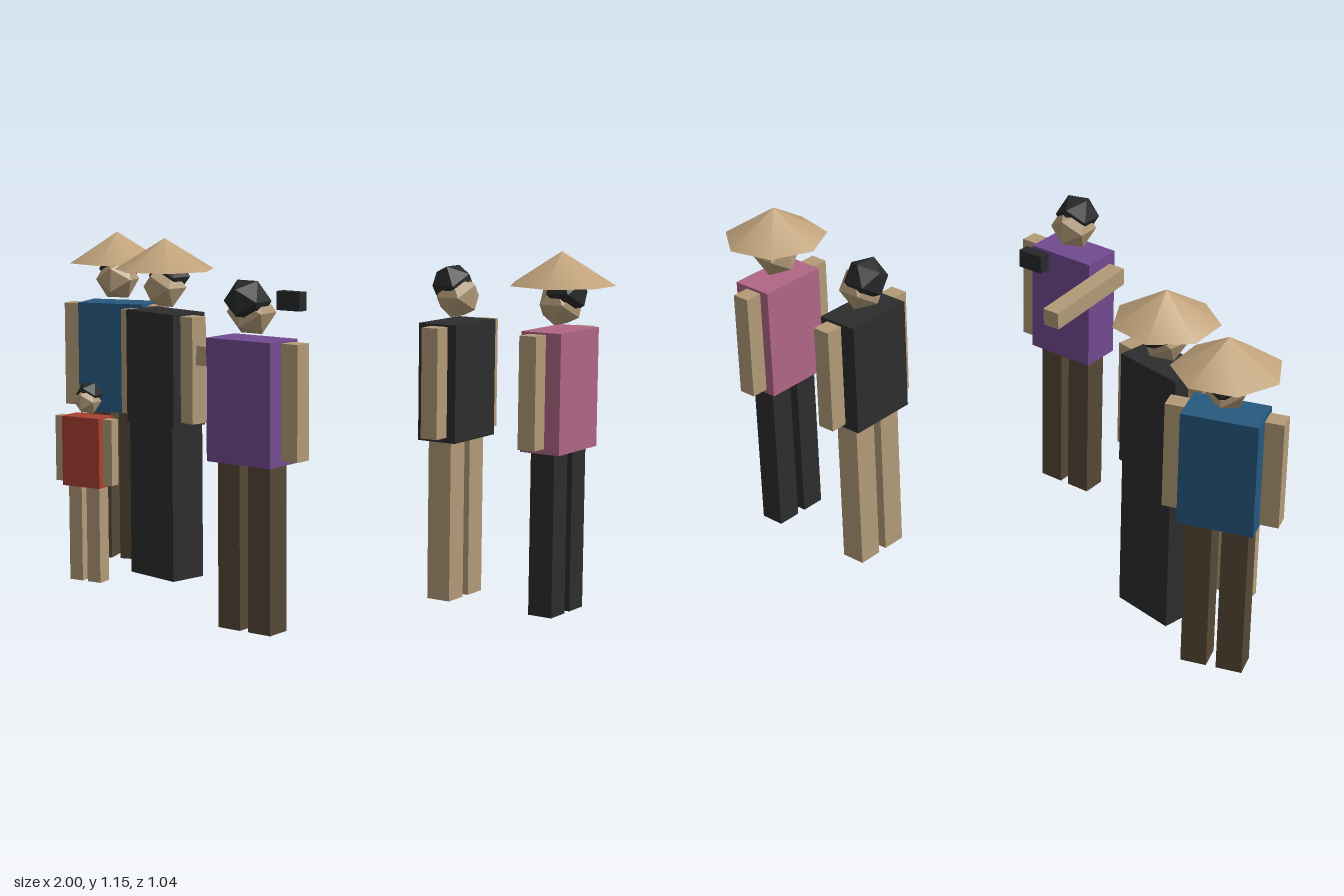
import * as THREE from 'three';

const paint = (name, color, flat = false) => {
  const m = new THREE.MeshStandardMaterial({ color, flatShading: flat });
  m.name = name;
  return m;
};

export function createModel() {
  const skin = paint('skin', 0xb39b78, true);
  const straw = paint('straw', 0xc0a27b);
  const hairDark = paint('hairDark', 0x28292a, true);
  const black = paint('blackCloth', 0x2d2d2d);
  const brown = paint('brownCloth', 0x564836);
  const purple = paint('purpleCloth', 0x734b90);
  const blue = paint('blueCloth', 0x27597f);
  const red = paint('redCloth', 0xac4132);
  const pink = paint('pinkCloth', 0xb06685);

  const add = (parent, name, geometry, material, x, y, z) => {
    const mesh = new THREE.Mesh(geometry, material);
    mesh.name = name;
    mesh.position.set(x, y, z);
    parent.add(mesh);
    return mesh;
  };
  const box = (w, h, d) => new THREE.BoxGeometry(w, h, d);

  // One standing figure, facing +z before it is turned
  function person({ name, x, z, turn, top, legs, hat, skirt, reaching, scale = 1 }) {
    const g = new THREE.Group();
    g.name = name;

    add(g, 'torso', box(0.242, 0.382, 0.14), top, 0, 0.717, 0);
    add(g, 'head', new THREE.IcosahedronGeometry(0.076), skin, 0, 0.988, 0);
    add(g, 'hair', new THREE.IcosahedronGeometry(0.073), hairDark, 0, 1.024, -0.02);

    // Legs, or a long skirt
    if (skirt) {
      add(g, 'skirt', box(0.22, 0.526, 0.134), skirt, 0, 0.263, 0);
    } else {
      for (const s of [-1, 1]) {
        add(g, s > 0 ? 'leftLeg' : 'rightLeg', box(0.084, 0.526, 0.084), legs, s * 0.058, 0.263, 0);
      }
    }

    // Arms hang down unless the left one reaches forward
    for (const s of [-1, 1]) {
      const label = s > 0 ? 'leftArm' : 'rightArm';
      if (s > 0 && reaching) {
        const arm = add(g, label, box(0.06, 0.06, 0.358), skin, 0.155, 0.832, 0.14);
        arm.rotation.x = 0.07;
      } else {
        add(g, label, box(0.06, 0.358, 0.06), skin, s * 0.155, 0.723, 0.011);
      }
    }

    if (hat) add(g, 'hat', new THREE.ConeGeometry(0.171, 0.106, 7), straw, 0, 1.1, 0);

    g.position.set(x, 0, z);
    g.rotation.y = turn;
    g.scale.setScalar(scale);
    return g;
  }

  const model = new THREE.Group();
  model.name = 'groupOfPeople';

  const people = [
    { name: 'photographer', x: 0.202, z: 0.436, turn: Math.PI, top: purple, legs: brown, reaching: true },
    { name: 'manInBlack', x: 0.457, z: -0.335, turn: Math.PI / 2, top: black, legs: skin },
    { name: 'womanInPink', x: 0.84, z: -0.331, turn: -Math.PI / 2, top: pink, legs: black, hat: true },
    { name: 'farmerInBlue', x: -0.82, z: -0.142, turn: 0.31, top: blue, legs: brown, hat: true },
    { name: 'womanInBlack', x: -0.5, z: -0.01, turn: -0.18, top: black, skirt: black, hat: true },
    { name: 'child', x: -0.658, z: 0.212, turn: 0.1, top: red, legs: skin, scale: 0.62 },
  ];
  for (const p of people) model.add(person(p));

  // Small camera held up before the photographer
  add(model, 'camera', box(0.09, 0.06, 0.037), hairDark, 0.141, 0.994, 0.147);

  return model;
}
